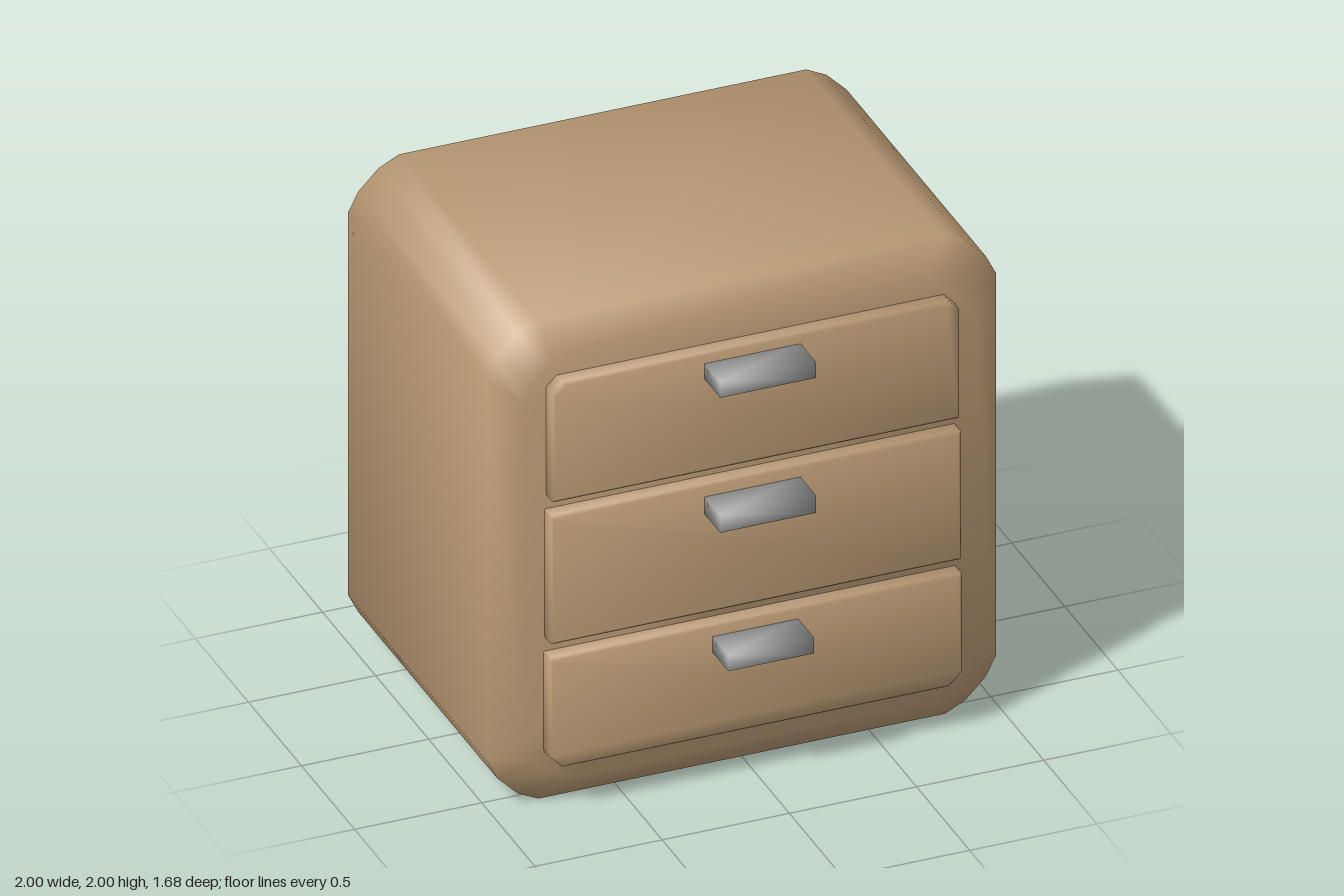
import * as THREE from 'three';

// Lofts closed outlines along z (back to front, counter-clockwise seen from +z),
// caps both ends and shares smooth normals averaged evenly over the triangles.
function loft(rings) {
  const n = rings[0].points.length;
  const pos = [], idx = [];
  for (const { points, z } of rings) for (const [x, y] of points) pos.push(x, y, z);
  for (let r = 0; r < rings.length - 1; r++) {
    for (let i = 0; i < n; i++) {
      const a = r * n + i, b = r * n + (i + 1) % n;
      idx.push(a, b, b + n, a, b + n, a + n);
    }
  }
  const last = (rings.length - 1) * n;
  for (let i = 1; i < n - 1; i++) {
    idx.push(0, i + 1, i);
    idx.push(last, last + i, last + i + 1);
  }
  const normals = new Float32Array(pos.length);
  const tri = new THREE.Triangle(), normal = new THREE.Vector3();
  for (let t = 0; t < idx.length; t += 3) {
    const corners = idx.slice(t, t + 3);
    [tri.a, tri.b, tri.c].forEach((v, k) => v.fromArray(pos, corners[k] * 3));
    tri.getNormal(normal);
    for (const c of corners) normal.toArray().forEach((v, k) => { normals[c * 3 + k] += v; });
  }
  const geometry = new THREE.BufferGeometry();
  geometry.setAttribute('position', new THREE.Float32BufferAttribute(pos, 3));
  geometry.setAttribute('normal', new THREE.BufferAttribute(normals, 3));
  geometry.setIndex(idx);
  geometry.normalizeNormals();
  return geometry;
}

// Rounded square outline of the cabinet, scaled about its centre at y = 1
function cabinetOutline(scale) {
  const corner = [[1, 0.8], [0.96, 0.88], [0.88, 0.96], [0.8, 1]];
  const points = [];
  for (let q = 0; q < 4; q++) {
    const c = [1, 0, -1, 0][q], s = [0, 1, 0, -1][q];
    for (const [x, y] of corner) points.push([(x * c - y * s) * scale, (x * s + y * c) * scale + 1]);
  }
  return points;
}

// Rectangle outline with cut upper and lower corners
function panelOutline(w, y0, y1, top, bottom, inset = 0) {
  const x = w - inset, lo = y0 + inset, hi = y1 - inset;
  return [
    [x, lo + bottom], [x, hi - top], [x - top, hi], [-x + top, hi],
    [-x, hi - top], [-x, lo + bottom], [-x + bottom, lo], [x - bottom, lo],
  ];
}

export function createModel() {
  const model = new THREE.Group();
  const wood = new THREE.MeshStandardMaterial({ color: 0xbd9c76 });
  wood.name = 'tan wood';
  const metal = new THREE.MeshStandardMaterial({ color: 0x9a9a9a });
  metal.name = 'grey metal';

  function add(name, geometry, material) {
    const mesh = new THREE.Mesh(geometry, material);
    mesh.name = name;
    model.add(mesh);
  }

  // Cabinet body with chamfered front and back rims
  add('cabinet', loft([
    { points: cabinetOutline(0.89), z: -0.84 },
    { points: cabinetOutline(1), z: -0.76 },
    { points: cabinetOutline(1), z: 0.55 },
    { points: cabinetOutline(0.89), z: 0.627 },
  ]), wood);

  // Drawers from top to bottom, each with its handle
  const drawers = [
    { name: 'top', w: 0.8, y0: 1.31, y1: 1.805, top: 0.04, bottom: 0.004, handle: [-0.205, 0.172, 1.7, 1.765] },
    { name: 'middle', w: 0.807, y0: 0.717, y1: 1.255, top: 0.004, bottom: 0.004, handle: [-0.205, 0.172, 1.135, 1.207] },
    { name: 'bottom', w: 0.81, y0: 0.195, y1: 0.66, top: 0.004, bottom: 0.05, handle: [-0.173, 0.163, 0.548, 0.615] },
  ];
  for (const { name, w, y0, y1, top, bottom, handle } of drawers) {
    const outer = panelOutline(w, y0, y1, top, bottom);
    add(name + 'Drawer', loft([
      { points: outer, z: 0.6 },
      { points: outer, z: 0.682 },
      { points: panelOutline(w, y0, y1, top, bottom, 0.01), z: 0.693 },
    ]), wood);

    const [x0, x1, h0, h1] = handle;
    const bar = [[x1, h0], [x1, h1], [x0, h1], [x0, h0]];
    add(name + 'Handle', loft([{ points: bar, z: 0.685 }, { points: bar, z: 0.84 }]), metal);
  }
  return model;
}
